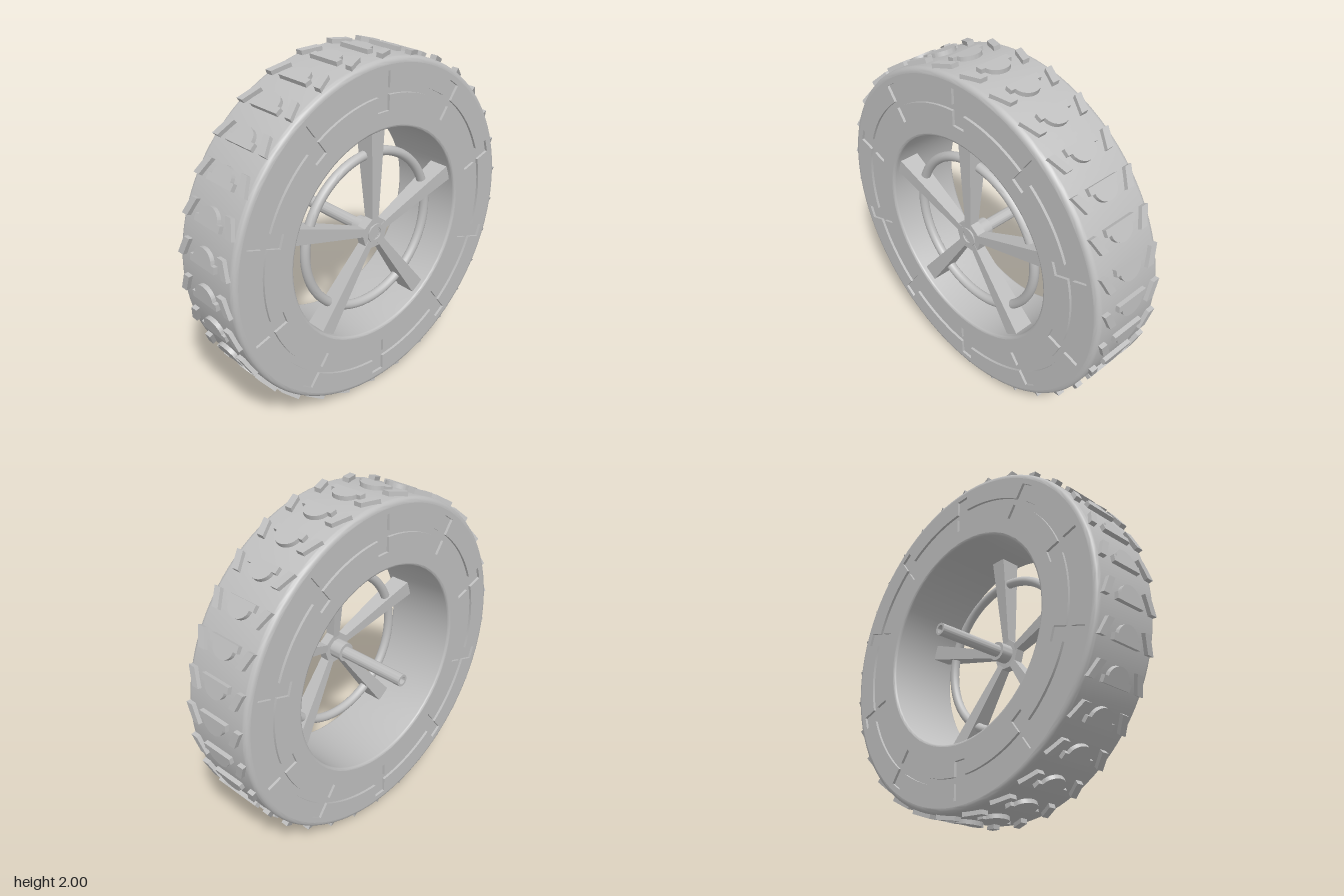
import * as THREE from 'three';
import { toCreasedNormals } from 'three/addons/utils/BufferGeometryUtils.js';

const grey = new THREE.MeshStandardMaterial({ color: 0xbfbfbf });
grey.name = 'grey';

function part(name, geometry, parent) {
  const mesh = new THREE.Mesh(toCreasedNormals(geometry, 0.6), grey);
  mesh.name = name;
  parent.add(mesh);
  return mesh;
}

// Closed [radius, x] profile turned about the x axis
function turned(profile, segments) {
  const pts = [...profile, profile[0]].map(([r, x]) => new THREE.Vector2(r, x));
  return new THREE.LatheGeometry(pts, segments).rotateZ(-Math.PI / 2);
}

const tube = (outer, inner, x0, x1) =>
  turned([[outer, x0], [outer, x1], [inner, x1], [inner, x0]], 40);

// Quarter-round corner points, centre (r, x), from angle a
function corner(r, x, radius, a) {
  return Array.from({ length: 7 }, (_, i) => {
    const t = a + (i / 6) * (Math.PI / 2);
    return [r + radius * Math.cos(t), x + radius * Math.sin(t)];
  });
}

// Circle of radius r with ten square notches reaching radius tip
function notchedCircle(r, tip, half) {
  const pts = [];
  const edge = Math.asin(half / r);
  const step = Math.PI / 5;
  for (let k = 0; k < 10; k++) {
    const a = Math.PI / 2 + k * step;
    for (const s of [-half, half]) {
      pts.push(new THREE.Vector2(tip * Math.cos(a) - s * Math.sin(a), tip * Math.sin(a) + s * Math.cos(a)));
    }
    for (let i = 0; i <= 10; i++) {
      const t = a + edge + (i / 10) * (step - 2 * edge);
      pts.push(new THREE.Vector2(r * Math.cos(t), r * Math.sin(t)));
    }
    // wall of the next notch starts at its first tip point
  }
  return pts;
}

function circlePoints(r) {
  return Array.from({ length: 120 }, (_, i) => {
    const t = (i / 120) * Math.PI * 2;
    return new THREE.Vector2(r * Math.cos(t), r * Math.sin(t));
  });
}

export function createModel() {
  const model = new THREE.Group();
  model.name = 'wheel';
  const wheel = new THREE.Group();
  wheel.name = 'wheelAssembly';
  wheel.position.set(0.075, 1, 0);
  model.add(wheel);

  const W = 0.225, D = 0.015; // half width, sidewall groove depth
  const half = Math.PI / 2;

  // Tyre body with rounded shoulders and bore edges
  part('tyre', turned([
    [0.945, -W + D],
    ...corner(0.945, -W + 0.03, 0.03, -half),
    ...corner(0.945, W - 0.03, 0.03, 0),
    [0.945, W - D], [0.62, W - D],
    ...corner(0.62, W - 0.015, 0.015, half),
    ...corner(0.62, -W + 0.015, 0.015, Math.PI),
    [0.62, -W + D],
  ], 120), wheel);

  // Sidewall layers leaving a ring groove with ten radial slots
  const innerWall = new THREE.Shape(notchedCircle(0.79, 0.705, 0.04));
  innerWall.holes.push(new THREE.Path(circlePoints(0.62)));
  const outerWall = new THREE.Shape(circlePoints(0.945));
  outerWall.holes.push(new THREE.Path(notchedCircle(0.825, 0.915, 0.04)));
  for (const [side, x] of [['left', W - D], ['right', -W]]) {
    for (const [name, shape] of [['InnerSidewall', innerWall], ['OuterSidewall', outerWall]]) {
      const geo = new THREE.ExtrudeGeometry(shape, { depth: D, bevelEnabled: false });
      part(side + name, geo.rotateY(half).translate(x, 0, 0), wheel);
    }
  }

  // Tread blocks: a domed centre block and two slanted shoulder blocks
  const dome = new THREE.Shape();
  dome.moveTo(-0.1, -0.05);
  dome.lineTo(0.1, -0.05);
  dome.lineTo(0.1, -0.012);
  dome.lineTo(0.074, -0.012);
  dome.absellipse(0, -0.012, 0.074, 0.064, 0, Math.PI, false, 0);
  dome.lineTo(-0.1, -0.012);
  const slant = (s) => new THREE.Shape([
    [0.162, -0.05], [0.205, -0.05], [0.162, 0.05], [0.117, 0.05],
  ].map(([x, y]) => new THREE.Vector2(s * x, y)));
  const blocks = [['centreTread', dome], ['leftTread', slant(1)], ['rightTread', slant(-1)]]
    .map(([name, shape]) => [name, new THREE.ExtrudeGeometry(shape,
      { depth: 0.043, bevelEnabled: false, curveSegments: 16 }).translate(0, 0, 0.955)]);
  for (let k = 0; k < 30; k++) {
    const row = new THREE.Group();
    row.name = 'treadRow';
    row.rotation.x = -THREE.MathUtils.degToRad(9 + 12 * k);
    for (const [name, geo] of blocks) part(name, geo, row);
    wheel.add(row);
  }

  // Five spokes, growing wider and deeper towards the rim
  const spoke = new THREE.BoxGeometry(1, 1, 1);
  const p = spoke.attributes.position;
  for (let i = 0; i < p.count; i++) {
    const outer = p.getY(i) > 0, front = p.getX(i) > 0;
    const x = outer ? (front ? 0.19 : 0.07) : (front ? 0.182 : 0.13);
    p.setXYZ(i, x, outer ? 0.61 : 0.03, Math.sign(p.getZ(i)) * (outer ? 0.046 : 0.02));
  }
  for (let k = 0; k < 5; k++) {
    part('spoke', spoke, wheel).rotation.x = (k * Math.PI * 2) / 5;
  }

  // Support ring through the spokes
  part('supportRing', new THREE.TorusGeometry(0.452, 0.027, 16, 96)
    .rotateY(half).translate(0.125, 0, 0), wheel);

  // Five-sided hub, round cap and hollow axle
  part('hub', new THREE.CylinderGeometry(0.105, 0.105, 0.055, 5)
    .rotateZ(-half).rotateX(-half).translate(0.153, 0, 0), wheel);
  part('hubCap', tube(0.055, 0.036, 0.05, 0.19), wheel);
  part('axle', tube(0.035, 0.022, -0.375, 0.14), wheel);

  return model;
}
